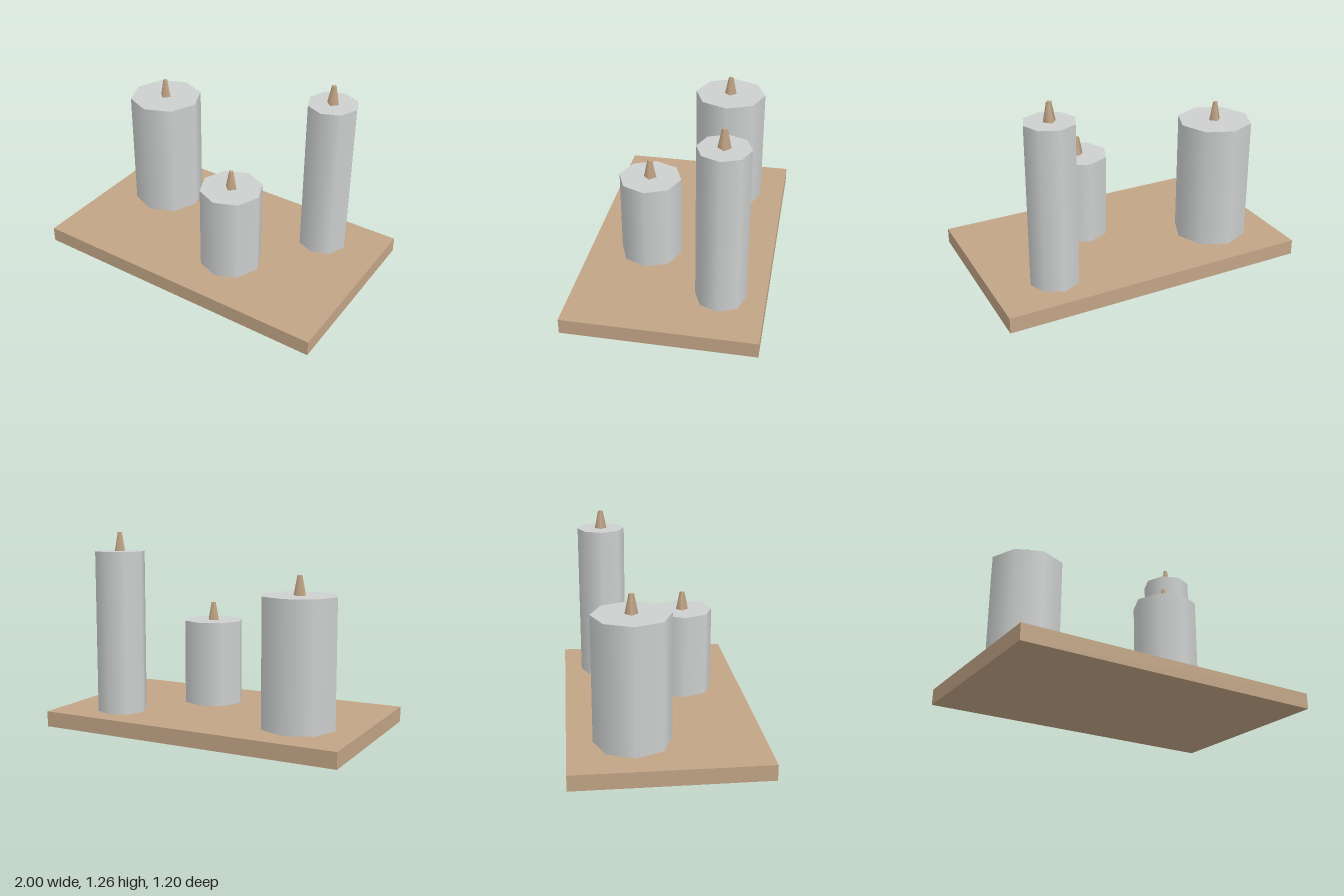
import * as THREE from 'three';

export function createModel() {
  const model = new THREE.Group();
  model.name = 'candleTray';

  const wood = new THREE.MeshStandardMaterial({ color: 0xc1a485 });
  wood.name = 'tan';
  const wax = new THREE.MeshStandardMaterial({ color: 0xcccfce });
  wax.name = 'pale grey';

  const add = (parent, name, geometry, material, y) => {
    const mesh = new THREE.Mesh(geometry, material);
    mesh.name = name;
    mesh.position.y = y;
    parent.add(mesh);
  };

  // Tray
  const thickness = 0.1;
  add(model, 'tray', new THREE.BoxGeometry(2, thickness, 1.2), wood, thickness / 2);

  // Candles: eight-sided wax body with a tapered four-sided wick
  const wickHeight = 0.12;
  const candles = [
    { name: 'wideCandle', x: -0.6, z: -0.2, radius: 0.24, height: 0.8 },
    { name: 'shortCandle', x: 0.2, z: 0.2, radius: 0.2, height: 0.56 },
    { name: 'tallCandle', x: 0.6, z: -0.32, radius: 0.16, height: 1.04 },
  ];
  for (const { name, x, z, radius, height } of candles) {
    const candle = new THREE.Group();
    candle.name = name;
    candle.position.set(x, thickness, z);
    add(candle, 'wax', new THREE.CylinderGeometry(radius, radius, height, 8), wax, height / 2);
    add(candle, 'wick', new THREE.CylinderGeometry(0.016, 0.04, wickHeight, 4), wood, height + wickHeight / 2);
    model.add(candle);
  }

  return model;
}
